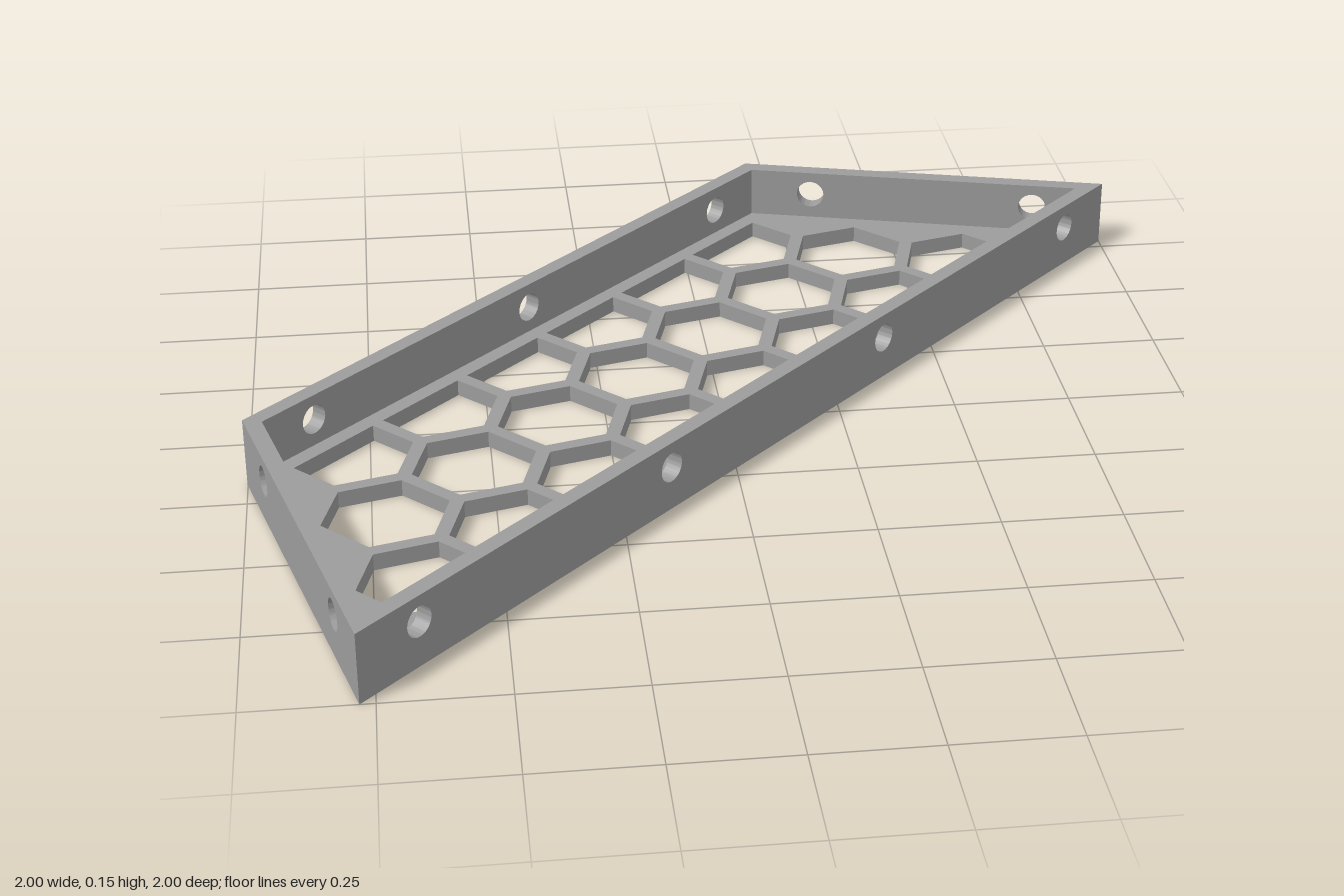
import * as THREE from 'three';
import { toCreasedNormals } from 'three/addons/utils/BufferGeometryUtils.js';

const H = 0.15, T = 0.036;             // tray height, wall and floor thickness
const BACK = -0.587, FRONT = 0.1556;   // the two parallel sides
const SHORT = 0.829, LONG = 1.2587;    // their half lengths
const PITCH = 0.26, R = 0.133;         // honeycomb spacing and cell radius

// Outline, starting along the long side, walls facing outward
const corners = [[-LONG, FRONT], [LONG, FRONT], [SHORT, BACK], [-SHORT, BACK]]
  .map(([x, z]) => new THREE.Vector2(x, z));

// Trim a polygon with the limit sign * y <= sign * limit
function clip(points, limit, sign) {
  const out = [];
  points.forEach((p, i) => {
    const q = points[(i + 1) % points.length];
    const a = sign * (limit - p.y), b = sign * (limit - q.y);
    if (a >= 0) out.push(p);
    if (a * b < 0) out.push(p.clone().lerp(q, a / (a - b)));
  });
  return out;
}

// Hexagonal cell, cut off where it runs into the border
function cell(x, z) {
  let points = [];
  for (let i = 0; i < 6; i++) {
    const a = Math.PI / 6 + i * Math.PI / 3;
    points.push(new THREE.Vector2(x + R * Math.cos(a), z + R * Math.sin(a)));
  }
  points = clip(clip(points, FRONT - 2 * T, 1), BACK + 2 * T, -1);
  return new THREE.Path(points.map(p => new THREE.Vector2(p.x, -p.y)));
}

function floorGeometry() {
  const shape = new THREE.Shape(corners.map(p => new THREE.Vector2(p.x, -p.y)));
  [8, 7, 6].forEach((count, row) => {
    const z = -0.0156 - row * PITCH * Math.sqrt(3) / 2;
    for (let i = 0; i < count; i++) shape.holes.push(cell((i - (count - 1) / 2) * PITCH, z));
  });
  const geo = new THREE.ExtrudeGeometry(shape, { depth: T, bevelEnabled: false });
  return geo.rotateX(-Math.PI / 2);
}

// Upright wall with round screw holes and mitred ends
function wallGeometry(length, holes, startAngle, endAngle) {
  const h = length / 2;
  const shape = new THREE.Shape([[-h, T], [h, T], [h, H], [-h, H]].map(p => new THREE.Vector2(...p)));
  for (let i = 0; i < holes; i++) {
    const x = (h - 0.163) * (2 * i / (holes - 1) - 1);
    shape.holes.push(new THREE.Path().absarc(x, 0.095, 0.032, 0, Math.PI * 2, true));
  }
  const geo = new THREE.ExtrudeGeometry(shape, { depth: T, bevelEnabled: false, curveSegments: 24 });
  geo.translate(0, 0, -T);
  const pos = geo.attributes.position;
  for (let i = 0; i < pos.count; i++) {
    if (pos.getZ(i) > -T / 2) continue;
    const x = pos.getX(i);
    if (x < -h + 1e-4) pos.setX(i, x + T / Math.tan(startAngle / 2));
    if (x > h - 1e-4) pos.setX(i, x - T / Math.tan(endAngle / 2));
  }
  return toCreasedNormals(geo, 0.5);
}

export function createModel() {
  const model = new THREE.Group();
  model.name = 'honeycombTray';
  const grey = new THREE.MeshStandardMaterial({ color: 0x9c9c9c });
  grey.name = 'grey';

  const tray = new THREE.Group();
  tray.name = 'tray';
  tray.rotation.y = Math.PI / 4;       // the long side runs diagonally
  model.add(tray);

  const floor = new THREE.Mesh(floorGeometry(), grey);
  floor.name = 'honeycombFloor';
  tray.add(floor);

  const sharp = Math.PI / 3, blunt = 2 * Math.PI / 3;
  const walls = [
    ['longWall', 4, sharp, sharp], ['rightEndWall', 2, sharp, blunt],
    ['shortWall', 3, blunt, blunt], ['leftEndWall', 2, blunt, sharp],
  ];
  walls.forEach(([name, holes, startAngle, endAngle], i) => {
    const p = corners[i], q = corners[(i + 1) % 4];
    const wall = new THREE.Mesh(wallGeometry(p.distanceTo(q), holes, startAngle, endAngle), grey);
    wall.name = name;
    wall.position.set((p.x + q.x) / 2, 0, (p.y + q.y) / 2);
    wall.rotation.y = Math.atan2(p.y - q.y, q.x - p.x);
    tray.add(wall);
  });
  return model;
}
